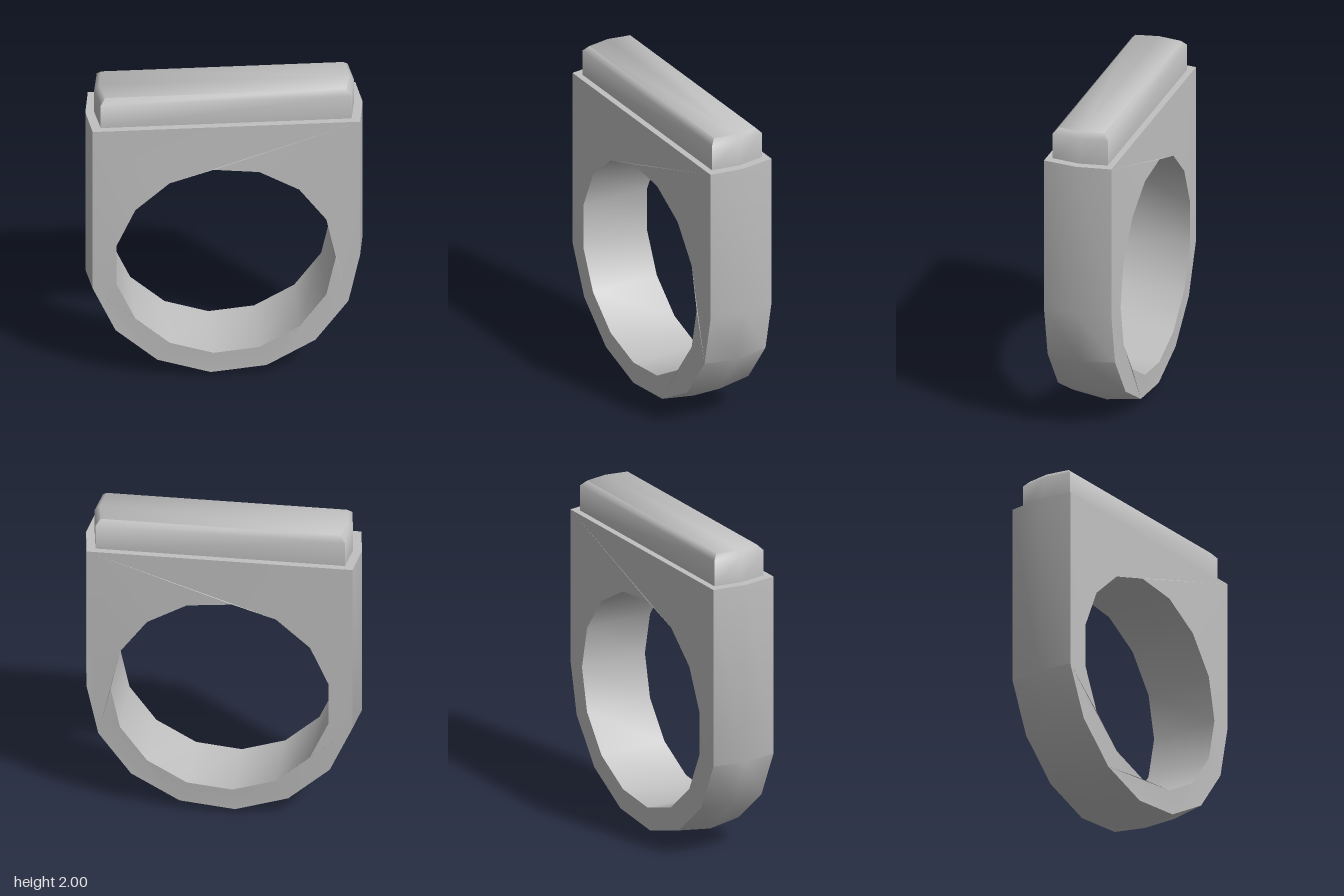
import * as THREE from 'three';
import { toCreasedNormals } from 'three/addons/utils/BufferGeometryUtils.js';

const CX = -0.01, CY = 0.842, STEP = Math.PI * 2 / 15, TOP = 1.805;

// Quads between successive loops of equal length, as a flat list of points
function loft(loops) {
  const pts = [];
  for (let l = 0; l < loops.length - 1; l++) {
    const a = loops[l], b = loops[l + 1], n = a.length;
    for (let i = 0; i < n; i++) {
      const j = (i + 1) % n;
      pts.push(a[i], a[j], b[j], a[i], b[j], b[i]);
    }
  }
  return pts;
}

function meshFrom(name, pts, crease, material) {
  const geo = new THREE.BufferGeometry().setFromPoints(pts);
  const mesh = new THREE.Mesh(toCreasedNormals(geo, crease), material);
  mesh.name = name;
  return mesh;
}

const polar = (r, k, z) =>
  new THREE.Vector3(CX + r * Math.cos(k * STEP), CY + r * Math.sin(k * STEP), z);

// Flat-topped outline whose lower half follows a 15-sided circle
function outline(r, z) {
  const lower = [];
  for (let k = -7; k <= 0; k++) lower.push(polar(r, k, z));
  return [
    new THREE.Vector3(lower[7].x, TOP, z),
    new THREE.Vector3(lower[0].x, TOP, z),
    ...lower,
  ];
}

function hole(z) {
  return Array.from({ length: 15 }, (_, k) => polar(0.666, k, z));
}

// Side face between the outline and the finger hole
function sideFace(outer, inner, front) {
  const flat = (p) => new THREE.Vector2(p.x, p.y);
  const all = [...outer, ...inner];
  const tris = THREE.ShapeUtils.triangulateShape(outer.map(flat), [inner.map(flat).reverse()]);
  // the hole was reversed for triangulation, so reverse its indices back
  const at = (i) => (i < outer.length ? all[i] : inner[inner.length - 1 - (i - outer.length)]);
  return tris.flatMap((t) => {
    const [a, b, c] = t.map(at);
    const ccw = THREE.ShapeUtils.area([a, b, c]) > 0;
    return ccw === front ? [a, b, c] : [a, c, b];
  });
}

// Six-sided plan of the top bar, with slightly pointed ends
function barLoop(xTip, x, z, y) {
  return [[xTip, 0], [x, -z], [-x, -z], [-xTip, 0], [-x, z], [x, z]]
    .map(([px, pz]) => new THREE.Vector3(px, y, pz));
}

export function createModel() {
  const metal = new THREE.MeshStandardMaterial({ color: 0xc0c0c0 });
  metal.name = 'grey metal';

  const ring = new THREE.Group();
  ring.name = 'signetRing';

  // Band: ridged outer wall, straight finger hole, two side faces
  const back = outline(0.812, -0.213), ridge = outline(0.842, 0), front = outline(0.812, 0.213);
  const holeFront = hole(0.223), holeBack = hole(-0.223);
  ring.add(meshFrom('band', [
    ...loft([back, ridge, front]),
    ...loft([holeFront, holeBack]),
    ...sideFace(front, holeFront, true),
    ...sideFace(back, holeBack, false),
  ], 0.6, metal));

  // Raised bar with a bevelled top edge
  const lid = barLoop(0.75, 0.725, 0.143, 2);
  const bar = loft([barLoop(0.78, 0.753, 0.174, TOP), barLoop(0.78, 0.753, 0.174, 1.967), lid]);
  for (let i = 1; i < 5; i++) bar.push(lid[0], lid[i], lid[i + 1]);
  ring.add(meshFrom('topBar', bar, 0.9, metal));

  return ring;
}
